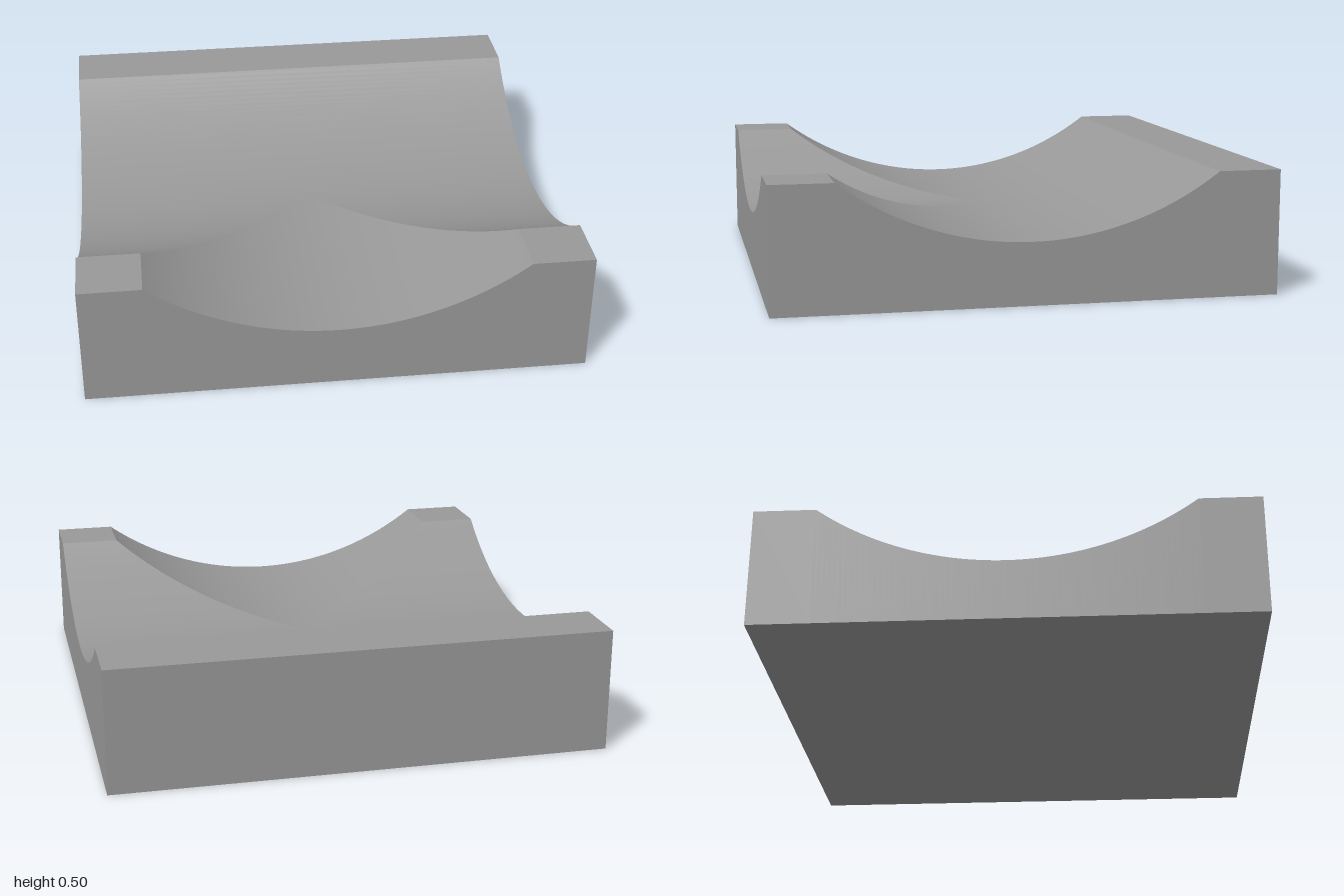
import * as THREE from 'three';

const RIM = 0.5, HALF = 0.75, RADIUS = 1.25, AXIS_Y = 1.5, SEGMENTS = 32;

// Height of the circular channel at distance s from its centre line
const channel = (s) => AXIS_Y - Math.sqrt(RADIUS * RADIUS - s * s);
const height = (s) => (Math.abs(s) >= HALF ? RIM : channel(s));

// Stations across the channel, evenly spaced by angle
function stations(from, to, count) {
  const a = Math.asin(from / RADIUS), b = Math.asin(to / RADIUS);
  return Array.from({ length: count + 1 }, (_, i) => RADIUS * Math.sin(a + ((b - a) * i) / count));
}

// Surface ruled between pairs of points; normalAt gives its outward normal
function ruled(rows, normalAt) {
  const positions = [], normals = [], index = [];
  for (const row of rows) {
    for (const p of row) {
      positions.push(...p);
      normals.push(...new THREE.Vector3(...normalAt(p)).normalize().toArray());
    }
  }
  // Choose the winding that faces along the normal
  const [a, b] = rows[0].map((p) => new THREE.Vector3(...p));
  const c = new THREE.Vector3(...rows[1][0]);
  const facing = b.clone().sub(a).cross(c.sub(a)).dot(new THREE.Vector3(...normalAt(rows[0][0])));
  for (let i = 0; i < rows.length - 1; i++) {
    const k = 2 * i;
    if (facing > 0) index.push(k, k + 1, k + 2, k + 1, k + 3, k + 2);
    else index.push(k, k + 2, k + 1, k + 1, k + 2, k + 3);
  }
  const geometry = new THREE.BufferGeometry();
  geometry.setAttribute('position', new THREE.Float32BufferAttribute(positions, 3));
  geometry.setAttribute('normal', new THREE.Float32BufferAttribute(normals, 3));
  geometry.setIndex(index);
  return geometry;
}

export function createModel() {
  const model = new THREE.Group();
  const material = new THREE.MeshStandardMaterial({ color: 0x999999 });
  const add = (name, rows, normalAt) => {
    const mesh = new THREE.Mesh(ruled(rows, normalAt), material);
    mesh.name = name;
    model.add(mesh);
  };
  const up = () => [0, 1, 0];
  const acrossNormal = ([, y, z]) => [0, AXIS_Y - y, -z];
  const branchNormal = ([x, y]) => [-x, AXIS_Y - y, 0];
  const flat = (x0, x1, z0, z1, y) => [[[x0, y, z0], [x1, y, z0]], [[x0, y, z1], [x1, y, z1]]];

  const half = stations(0, HALF, SEGMENTS);
  const outline = [-1, ...stations(-HALF, HALF, 2 * SEGMENTS), 1];

  // Back half of the main channel, and the flat rim behind it
  add('mainChannelBack', half.map((s) => [[-1, channel(s), -s], [1, channel(s), -s]]), acrossNormal);
  add('backRim', flat(-1, 1, -1, -HALF, RIM), up);

  for (const side of [1, -1]) {
    const label = side > 0 ? 'left' : 'right';
    // Front half of the main channel, mitred against the branch
    add(label + 'ChannelFront',
      half.map((s) => [[side * s, channel(s), s], [side, channel(s), s]]), acrossNormal);
    // Half of the branch channel running out to the front
    add(label + 'BranchChannel',
      half.map((s) => [[side * s, channel(s), s], [side * s, channel(s), 1]]), branchNormal);
    // Flat front corner and the side wall following the channel
    add(label + 'CornerRim', flat(side * HALF, side, HALF, 1, RIM), up);
    add(label + 'Wall', outline.map((s) => [[side, 0, s], [side, height(s), s]]), () => [side, 0, 0]);
  }

  // Front wall with the branch outline, plain back wall and underside
  add('frontWall', outline.map((s) => [[s, 0, 1], [s, height(s), 1]]), () => [0, 0, 1]);
  add('backWall', [[[-1, 0, -1], [-1, RIM, -1]], [[1, 0, -1], [1, RIM, -1]]], () => [0, 0, -1]);
  add('underside', flat(-1, 1, -1, 1, 0), () => [0, -1, 0]);
  return model;
}
